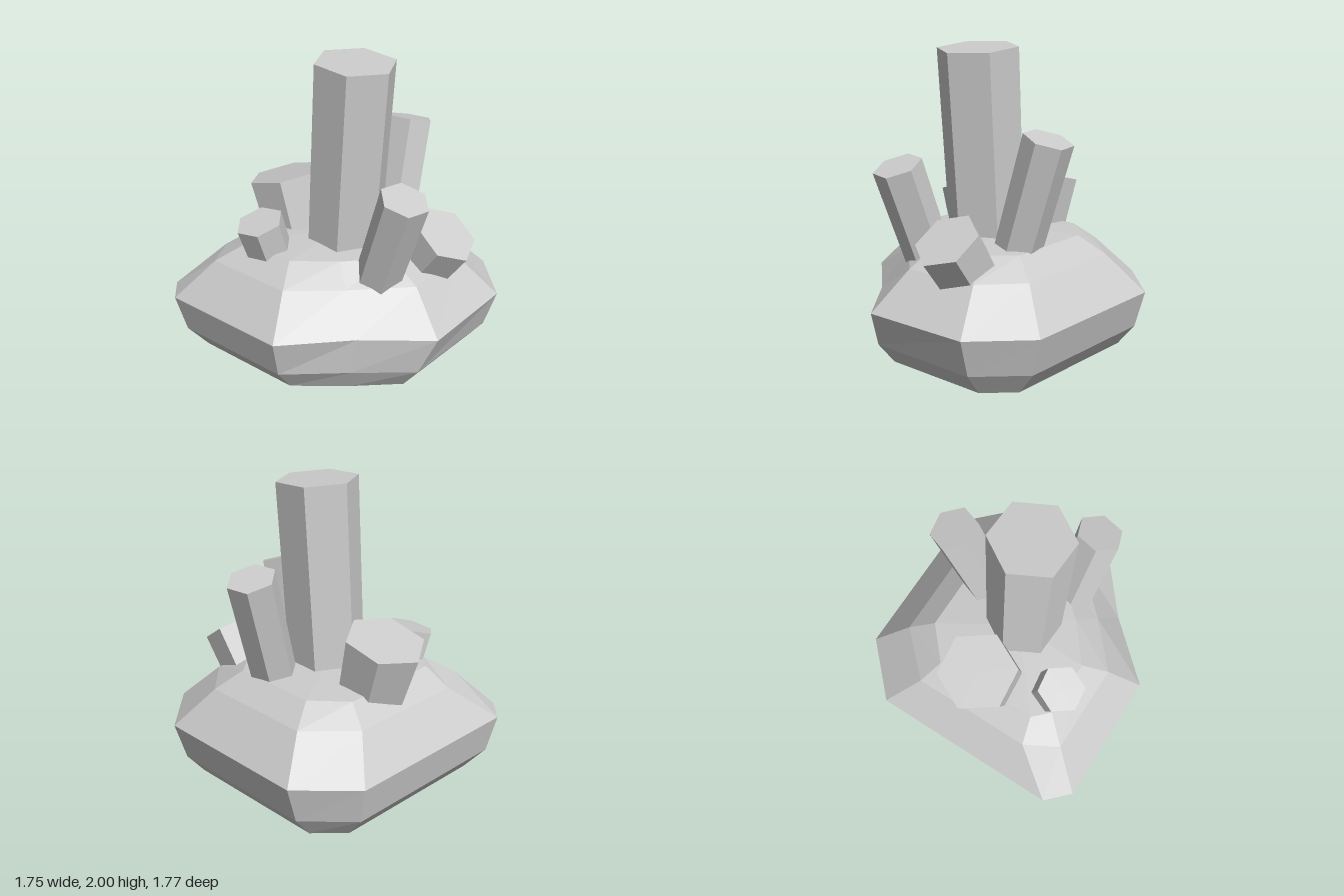
import * as THREE from 'three';

const material = new THREE.MeshStandardMaterial({ color: 0xcccccc, flatShading: true });

// Horizontal outlines of the rock, bottom to top: height, then [x, z] corners
const RINGS = [
  { y: 0, pts: [[-0.62, -0.72], [0.5, -0.72], [0.68, -0.55], [0.68, 0.48], [0.505, 0.65], [-0.215, 0.66], [-0.45, 0.42], [-0.7, 0.12], [-0.7, -0.64]] },
  { y: 0.15, pts: [[-0.69, -0.84], [0.53, -0.84], [0.8, -0.56], [0.8, 0.5], [0.525, 0.77], [-0.23, 0.78], [-0.51, 0.46], [-0.815, 0.13], [-0.815, -0.71]] },
  { y: 0.4, pts: [[-0.73, -0.89], [0.55, -0.89], [0.87, -0.565], [0.87, 0.525], [0.545, 0.85], [-0.175, 0.885], [-0.49, 0.5], [-0.875, 0.15], [-0.875, -0.745]] },
  { y: 0.65, pts: [[-0.44, -0.69], [0.37, -0.69], [0.65, -0.42], [0.65, 0.36], [0.42, 0.6], [-0.08, 0.64], [-0.4, 0.33], [-0.66, 0.04], [-0.66, -0.57]] },
  { y: 0.765, pts: [[-0.4, -0.53], [0.3, -0.54], [0.49, -0.33], [0.49, 0.26], [0.3, 0.42], [-0.05, 0.42], [-0.3, 0.2], [-0.5, -0.05], [-0.5, -0.43]] },
];

// Faceted rock: stacked rings, closed by a fan below and a shallow peak above
function rock() {
  const pos = [];
  const rings = RINGS.map(({ y, pts }) => pts.map(([x, z]) => [x, y, z]));
  const tri = (a, b, c) => pos.push(...a, ...b, ...c);
  const n = rings[0].length;
  const last = rings[rings.length - 1];
  for (let i = 0; i < n; i++) {
    const j = (i + 1) % n;
    for (let r = 0; r < rings.length - 1; r++) {
      const lo = rings[r], hi = rings[r + 1];
      tri(lo[j], lo[i], hi[i]);
      tri(lo[j], hi[i], hi[j]);
    }
    tri([0, 0, 0], rings[0][i], rings[0][j]);
    tri([0, 0.81, -0.05], last[j], last[i]);
  }
  const geo = new THREE.BufferGeometry();
  geo.setAttribute('position', new THREE.Float32BufferAttribute(pos, 3));
  geo.computeVertexNormals();
  const mesh = new THREE.Mesh(geo, material);
  mesh.name = 'rockBase';
  return mesh;
}

// Six-sided crystal hanging back from the centre of its tip face along its axis
function crystal({ name, tip, axis, rTop, rBase, length, twist }) {
  const geo = new THREE.CylinderGeometry(rTop, rBase, length, 6, 1, false, THREE.MathUtils.degToRad(twist));
  geo.translate(0, -length / 2, 0);
  const mesh = new THREE.Mesh(geo, material);
  mesh.name = name;
  mesh.position.set(...tip);
  mesh.quaternion.setFromUnitVectors(new THREE.Vector3(0, 1, 0), new THREE.Vector3(...axis).normalize());
  return mesh;
}

const CRYSTALS = [
  { name: 'mainCrystal', tip: [-0.012, 1.98, 0.083], axis: [0, 1, 0.07], rTop: 0.265, rBase: 0.25, length: 1.4, twist: -2 },
  { name: 'backCrystal', tip: [0, 1.073, -0.528], axis: [0, 1, -0.27], rTop: 0.263, rBase: 0.225, length: 0.5, twist: 4 },
  { name: 'leftCrystal', tip: [0.555, 1.465, 0.075], axis: [0.28, 1, -0.05], rTop: 0.16, rBase: 0.15, length: 0.9, twist: 9 },
  { name: 'frontRightCrystal', tip: [-0.195, 1.283, 0.617], axis: [-0.06, 1, 0.36], rTop: 0.158, rBase: 0.15, length: 0.8, twist: 18 },
  { name: 'frontCrystal', tip: [0.235, 0.895, 0.635], axis: [0, 1, 0.71], rTop: 0.213, rBase: 0.2, length: 0.45, twist: -6 },
  { name: 'backRightCrystal', tip: [-0.495, 0.955, -0.31], axis: [-0.3, 1, -0.07], rTop: 0.158, rBase: 0.145, length: 0.4, twist: 8 },
];

export function createModel() {
  const group = new THREE.Group();
  group.name = 'crystalCluster';
  group.add(rock(), ...CRYSTALS.map(crystal));
  return group;
}
